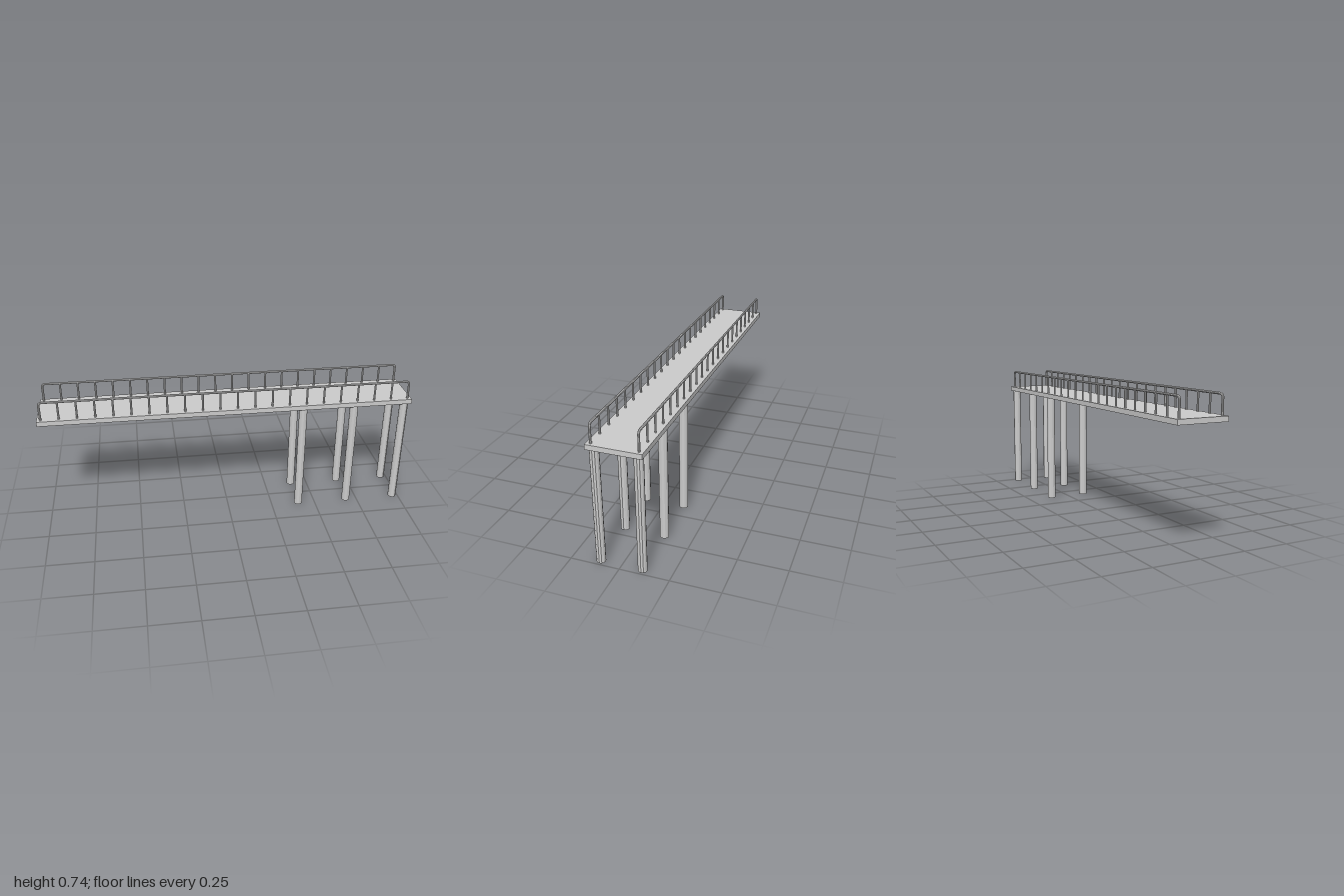
import * as THREE from 'three';

const DECK_BOTTOM = 0.611, DECK_TOP = 0.637, DECK_WIDTH = 0.272;
const RAIL_Y = 0.735, RAIL_Z = 0.1145, RAIL_END = 0.98, RAIL_R = 0.0063, BEND = 0.016;

const material = new THREE.MeshStandardMaterial({ color: 0xcccccc, flatShading: true });
const openMaterial = new THREE.MeshStandardMaterial({ color: 0xcccccc, flatShading: true, side: THREE.DoubleSide });

function add(parent, name, geometry, x, y, z, mat = material) {
  const mesh = new THREE.Mesh(geometry, mat);
  mesh.name = name;
  mesh.position.set(x, y, z);
  parent.add(mesh);
  return mesh;
}

// One handrail: top bar, rounded ends and a row of uprights
function createRailing(name, z) {
  const rail = new THREE.Group();
  rail.name = name;
  const barLength = 2 * (RAIL_END - BEND);
  const bar = add(rail, 'topBar', new THREE.CylinderGeometry(RAIL_R, RAIL_R, barLength, 8, 1, true), 0, RAIL_Y, z);
  bar.rotation.z = Math.PI / 2;

  const bend = new THREE.TorusGeometry(BEND, RAIL_R, 8, 6, Math.PI / 2);
  const endHeight = RAIL_Y - BEND - DECK_TOP;
  const endPost = new THREE.CylinderGeometry(RAIL_R, RAIL_R, endHeight, 8, 1, true);
  for (const s of [-1, 1]) {
    const corner = add(rail, 'railBend', bend, s * (RAIL_END - BEND), RAIL_Y - BEND, z);
    if (s < 0) corner.rotation.y = Math.PI;
    add(rail, 'endPost', endPost, s * RAIL_END, DECK_TOP + endHeight / 2, z);
  }

  const height = RAIL_Y - DECK_TOP;
  const baluster = new THREE.CylinderGeometry(0.0055, 0.0055, height, 8, 1, true);
  const gaps = 21;
  for (let i = 1; i < gaps; i++) {
    add(rail, 'baluster', baluster, -RAIL_END + (2 * RAIL_END * i) / gaps, DECK_TOP + height / 2, z);
  }
  return rail;
}

export function createModel() {
  const model = new THREE.Group();
  model.name = 'pier';

  // Deck slab
  add(model, 'deck', new THREE.BoxGeometry(2, DECK_TOP - DECK_BOTTOM, DECK_WIDTH),
    0, (DECK_TOP + DECK_BOTTOM) / 2, 0);

  // Three pairs of pilings under one end
  const piling = new THREE.CylinderGeometry(0.0228, 0.0228, DECK_BOTTOM, 12, 1, true);
  for (const x of [0.405, 0.687, 0.968]) {
    for (const z of [-0.106, 0.106]) add(model, 'piling', piling, x, DECK_BOTTOM / 2, z, openMaterial);
  }

  // Railings along both long edges
  model.add(createRailing('frontRailing', RAIL_Z), createRailing('backRailing', -RAIL_Z));
  return model;
}
